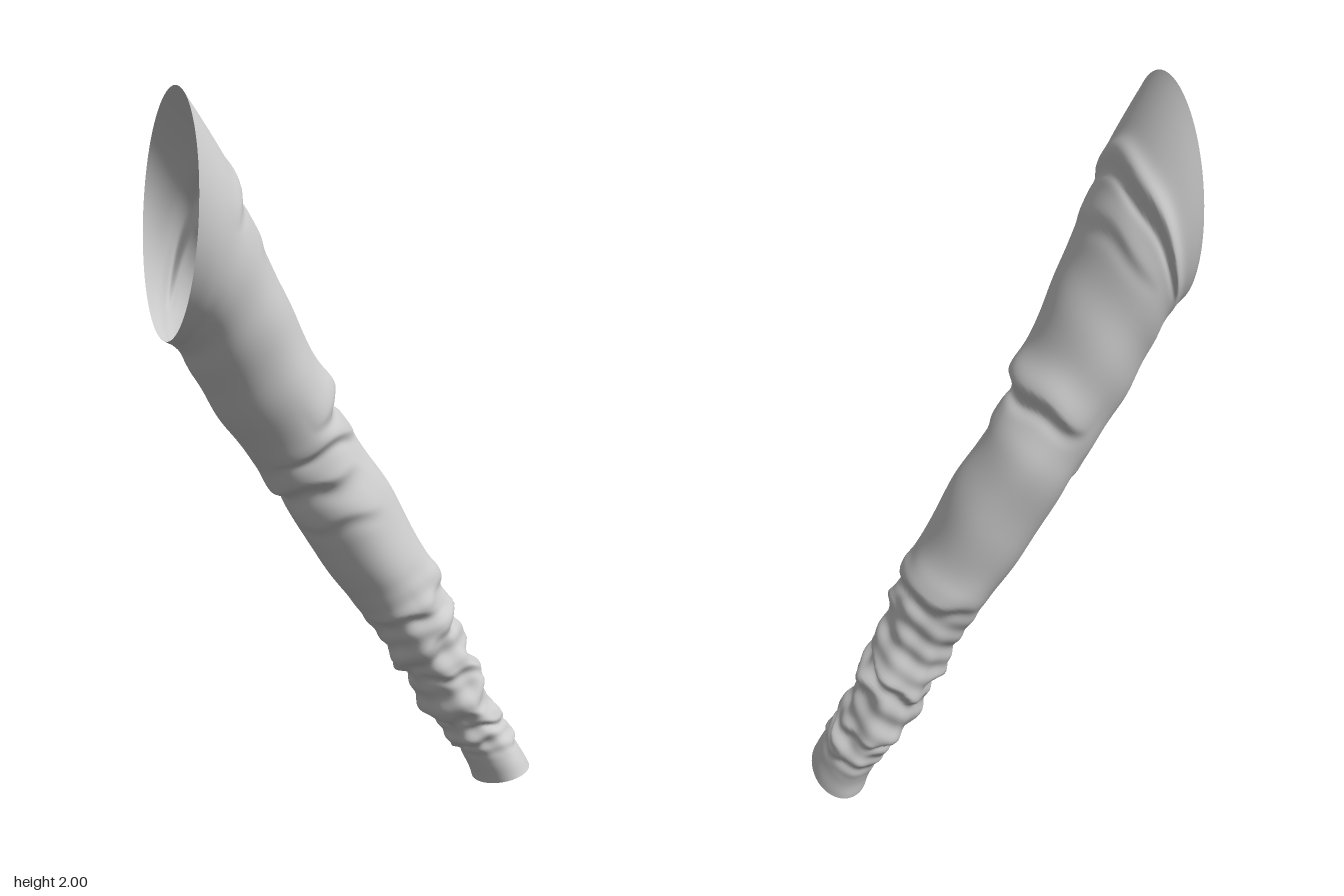
import * as THREE from 'three';

// Stations from shoulder to cuff: outer edge x,y | inner edge x,y | z centre | z half-width
const STATIONS = [
  [-0.47, 2.0, -0.52, 1.37, -0.07, 0.21],
  [-0.375, 1.86, -0.5, 1.36, -0.068, 0.208],
  [-0.3, 1.7, -0.47, 1.34, -0.065, 0.2],
  [-0.21, 1.52, -0.43, 1.27, -0.06, 0.185],
  [-0.125, 1.36, -0.36, 1.15, -0.06, 0.172],
  [-0.05, 1.2, -0.27, 1.03, -0.055, 0.158],
  [0.04, 1.07, -0.19, 0.93, -0.063, 0.142],
  [0.14, 0.91, -0.1, 0.76, -0.025, 0.142],
  [0.23, 0.72, 0.0, 0.61, 0.012, 0.137],
  [0.295, 0.56, 0.1, 0.47, 0.045, 0.125],
  [0.36, 0.4, 0.185, 0.33, 0.065, 0.118],
  [0.43, 0.24, 0.275, 0.18, 0.095, 0.112],
  [0.49, 0.12, 0.33, 0.09, 0.135, 0.113],
  [0.52, 0.05, 0.352, 0.02, 0.155, 0.121],
];
const LAST = STATIONS.length - 1;

// Folds: station | angle (0 outer, PI/2 front, PI inner) | angular reach | height | width | skew
const FOLDS = [
  [1.55, -0.5, 1.7, 0.026, 0.3, 0.0],
  [2.3, -0.3, 1.3, 0.008, 0.3, 0.1],
  [4.95, -0.1, 1.7, 0.028, 0.4, 0.1],
  [5.6, 1.5, 1.3, 0.012, 0.3, -0.25],
  [6.0, 2.5, 1.5, 0.026, 0.4, -0.2],
  [6.7, 2.2, 1.1, 0.01, 0.3, -0.2],
  [8.35, -0.2, 1.9, 0.022, 0.35, 0.12],
  [8.6, 2.0, 1.4, 0.012, 0.3, -0.2],
  [9.1, 1.0, 1.5, 0.018, 0.28, 0.2],
  [9.5, 2.9, 1.7, 0.024, 0.35, 0.1],
  [9.85, -0.6, 1.7, 0.026, 0.3, -0.12],
  [10.0, 1.5, 1.3, 0.018, 0.25, -0.2],
  [10.4, 0.4, 1.4, 0.02, 0.25, 0.2],
  [10.65, 2.7, 1.8, 0.028, 0.35, -0.1],
  [10.95, -1.2, 1.6, 0.018, 0.25, 0.12],
  [11.2, 0.9, 1.5, 0.016, 0.22, -0.2],
  [11.45, 3.0, 1.4, 0.014, 0.25, 0.1],
  [11.65, -0.2, 1.6, 0.012, 0.3, 0.12],
];

// Catmull-Rom blend of the station table
function station(t) {
  const i = Math.min(Math.floor(t), LAST - 1), f = t - i;
  const at = (k) => STATIONS[Math.max(0, Math.min(LAST, k))];
  const [a, b, c, d] = [at(i - 1), at(i), at(i + 1), at(i + 2)];
  return b.map((_, k) => b[k] + 0.5 * f * (c[k] - a[k]
    + f * (2 * a[k] - 5 * b[k] + 4 * c[k] - d[k] + f * (3 * (b[k] - c[k]) + d[k] - a[k]))));
}

// Cloth relief: each fold swells gently from above and tucks in sharply below
function relief(t, angle) {
  let h = 0;
  for (const [t0, a0, reach, height, width, skew] of FOLDS) {
    const da = Math.atan2(Math.sin(angle - a0), Math.cos(angle - a0));
    if (Math.abs(da) >= reach) continue;
    const window = Math.cos((da / reach) * Math.PI / 2);
    const x = t - t0 - skew * da - 0.04 * Math.sin(5 * angle + t0 * 3);
    const w = x < 0 ? width : width * 0.3;
    h += height * window * Math.exp(-((x / w) ** 2));
    h -= height * 0.35 * window * Math.exp(-(((x - width * 0.6) / (width * 0.4)) ** 2));
  }
  // Faint ripples, stronger in the gathered forearm
  const gather = THREE.MathUtils.smoothstep(t, 7.8, 9) * (1 - THREE.MathUtils.smoothstep(t, 11.3, 12.2));
  const ripple = Math.sin(3 * angle + 2.3 * t) * Math.sin(2 * angle - 3.1 * t);
  const fine = Math.sin(4 * angle + 9 * t) * Math.sin(3 * angle - 7 * t + 1);
  const fade = THREE.MathUtils.smoothstep(t, 0, 2) * (1 - THREE.MathUtils.smoothstep(t, 12, 13));
  return h + fade * 0.003 * ripple + gather * 0.007 * fine;
}

function sleeveGeometry(rings = 260, sides = 96) {
  const positions = [], indices = [];
  const centre = new THREE.Vector3(), u = new THREE.Vector3(), v = new THREE.Vector3(), radial = new THREE.Vector3();
  for (let r = 0; r <= rings; r++) {
    const t = (r / rings) * LAST;
    const [ox, oy, ix, iy, z, hz] = station(t);
    centre.set((ox + ix) / 2, (oy + iy) / 2, z);
    u.set((ox - ix) / 2, (oy - iy) / 2, 0);
    v.set(-0.03, 0.03 * THREE.MathUtils.smoothstep(t, 0, 3), hz);
    for (let s = 0; s < sides; s++) {
      const a = (s / sides) * Math.PI * 2;
      radial.set(0, 0, 0).addScaledVector(u, Math.cos(a)).addScaledVector(v, Math.sin(a));
      radial.setLength(radial.length() + relief(t, a)).add(centre);
      positions.push(radial.x, radial.y, radial.z);
      if (r === rings) continue;
      const n = (s + 1) % sides, p = r * sides, q = p + sides;
      indices.push(p + s, p + n, q + s, p + n, q + n, q + s);
    }
  }
  const geometry = new THREE.BufferGeometry();
  geometry.setAttribute('position', new THREE.Float32BufferAttribute(positions, 3));
  geometry.setIndex(indices);
  geometry.computeVertexNormals();
  return geometry;
}

export function createModel() {
  const group = new THREE.Group();
  group.name = 'sleeve';
  // Open cloth tube, from slanted armhole to cuff
  const cloth = new THREE.MeshStandardMaterial({ color: 0xcccccc, side: THREE.DoubleSide });
  const sleeve = new THREE.Mesh(sleeveGeometry(), cloth);
  sleeve.name = 'sleeveCloth';
  group.add(sleeve);
  return group;
}
